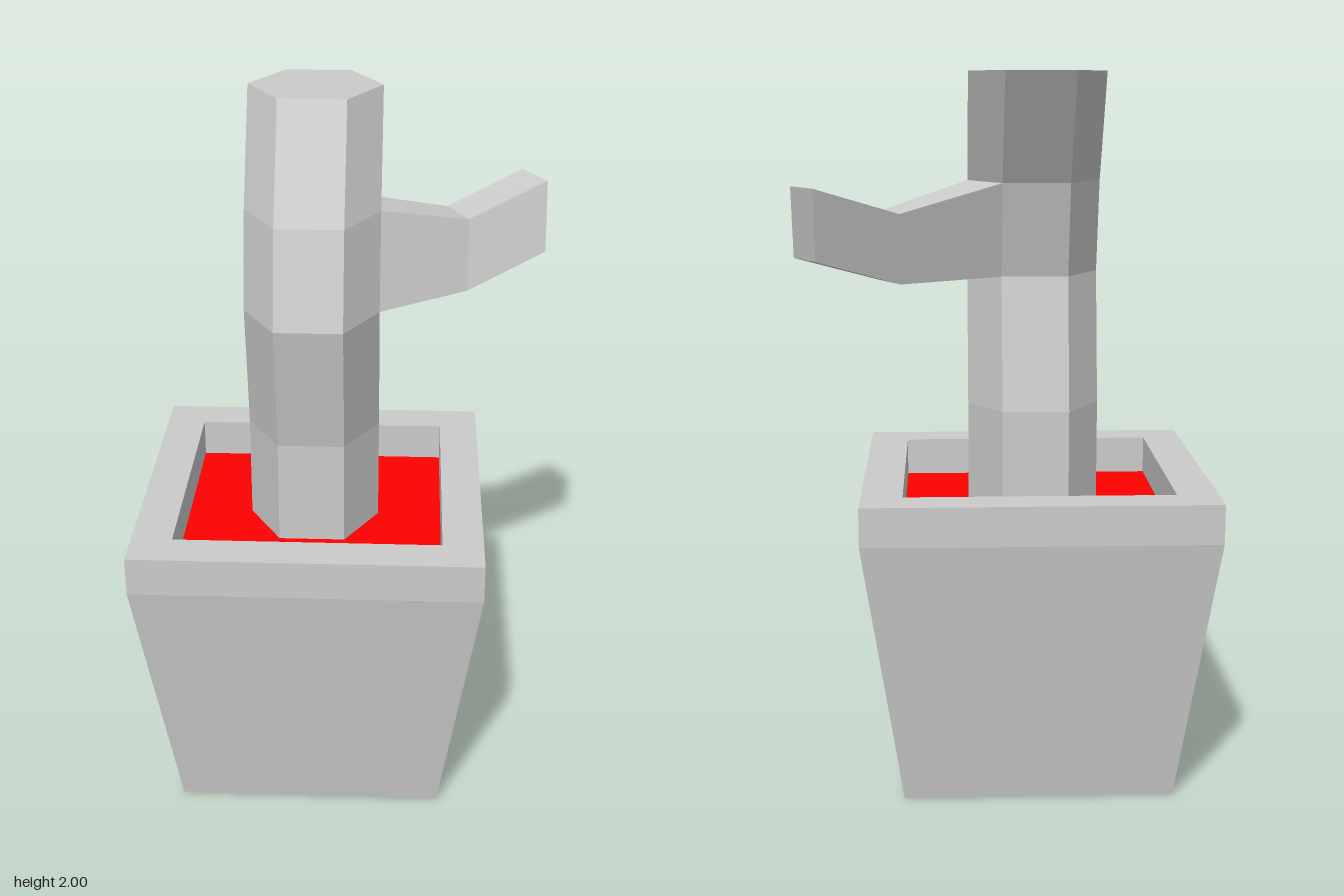
import * as THREE from 'three';

const grey = new THREE.MeshStandardMaterial({ color: 0xcccccc, flatShading: true });
const red = new THREE.MeshStandardMaterial({ color: 0xff0000, flatShading: true });
const CENTRE_X = -0.089;

// Joins rings of points (counter-clockwise seen from the tip) and caps the tip;
// skip(k, i) leaves out side i of section k
function loft(rings, skip = () => false) {
  const pos = [];
  const n = rings[0].length;
  for (let k = 0; k < rings.length - 1; k++) {
    for (let i = 0; i < n; i++) {
      if (skip(k, i)) continue;
      const j = (i + 1) % n;
      const [a, b, c, d] = [rings[k][i], rings[k][j], rings[k + 1][j], rings[k + 1][i]];
      pos.push(...a, ...b, ...c, ...a, ...c, ...d);
    }
  }
  const tip = rings[rings.length - 1];
  for (let i = 1; i < n - 1; i++) pos.push(...tip[0], ...tip[i], ...tip[i + 1]);
  const geo = new THREE.BufferGeometry();
  geo.setAttribute('position', new THREE.Float32BufferAttribute(pos, 3));
  geo.computeVertexNormals();
  return geo;
}

// Horizontal hexagon of the trunk
function hexagon(y, z) {
  return Array.from({ length: 6 }, (_, i) => {
    const a = (i * Math.PI) / 3;
    return [CENTRE_X + 0.188 * Math.cos(a), y, z - 0.188 * Math.sin(a)];
  });
}

export function createModel() {
  const model = new THREE.Group();
  const add = (name, geo, mat) => {
    const mesh = new THREE.Mesh(geo, mat);
    mesh.name = name;
    model.add(mesh);
    return mesh;
  };

  // Square tapered pot with a straight rim: half widths and heights
  const profile = [[0, 0], [0.377, 0], [0.487, 0.76], [0.487, 0.87], [0.373, 0.87], [0.373, 0.76]]
    .map(([half, y]) => new THREE.Vector2(half * Math.SQRT2, y));
  const pot = add('pot', new THREE.LatheGeometry(profile, 4, Math.PI / 4), grey);
  pot.position.x = CENTRE_X;

  // Soil
  const soil = add('soil', new THREE.PlaneGeometry(0.746, 0.746).rotateX(-Math.PI / 2), red);
  soil.position.set(CENTRE_X, 0.76, 0);

  // Bent trunk, open where the branch leaves it
  const trunk = [[0.76, 0], [1.06, 0], [1.435, 0.076], [1.7, 0], [2, -0.188]]
    .map(([y, z]) => hexagon(y, z));
  add('trunk', loft(trunk, (k, i) => k === 2 && i === 0), grey);

  // Branch growing out of one trunk face
  add('branch', loft([
    [trunk[2][0], trunk[2][1], trunk[3][1], trunk[3][0]],
    [[0.345, 1.43, -0.11], [0.285, 1.43, -0.225], [0.285, 1.625, -0.28], [0.345, 1.625, -0.165]],
    [[0.572, 1.505, -0.24], [0.505, 1.505, -0.355], [0.505, 1.7, -0.41], [0.572, 1.7, -0.295]],
  ]), grey);

  return model;
}
